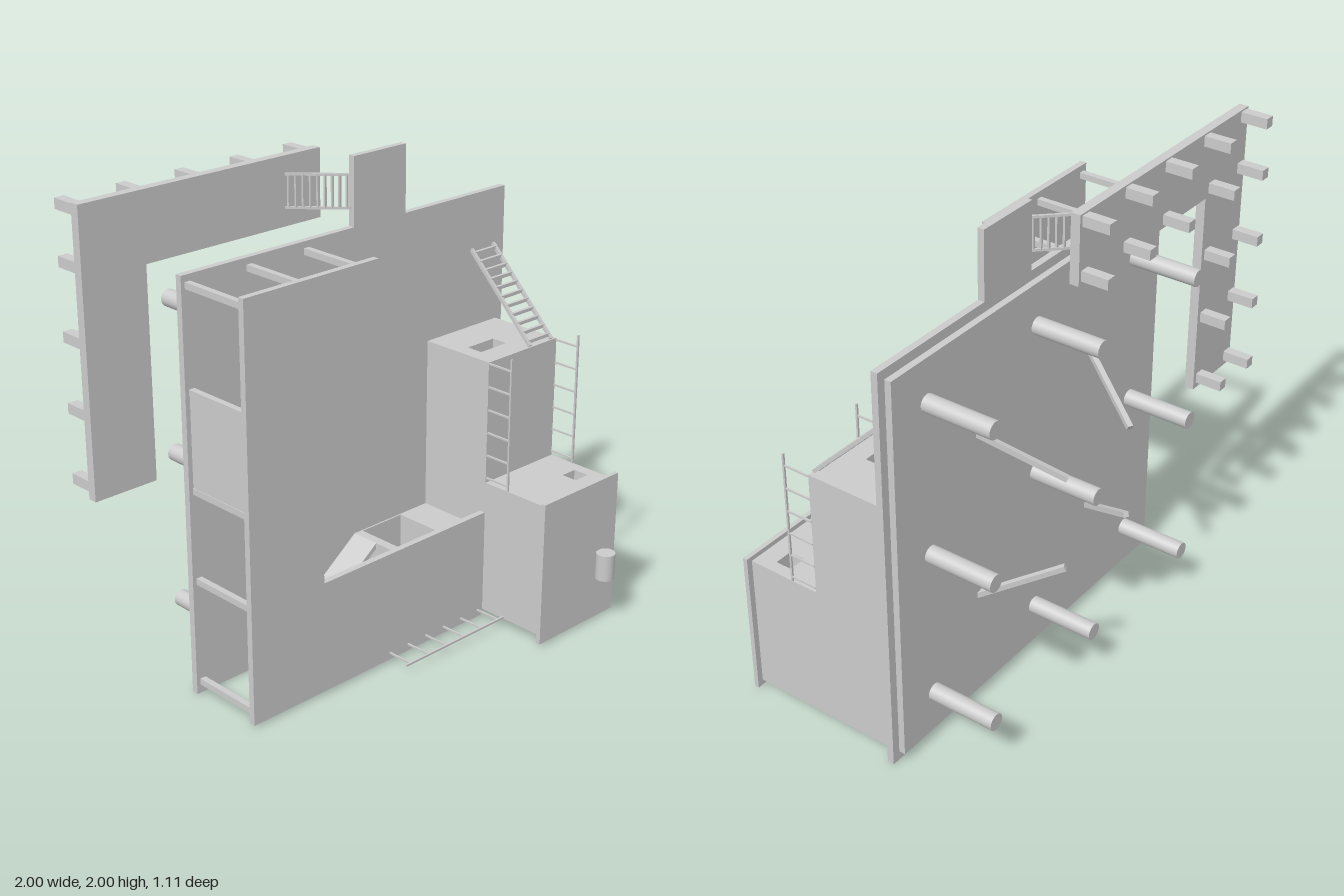
import * as THREE from 'three';

const material = new THREE.MeshStandardMaterial({ color: 0xcccccc, flatShading: true });
const smooth = new THREE.MeshStandardMaterial({ color: 0xcccccc });

export function createModel() {
  const model = new THREE.Group();

  const add = (name, geometry, mat = material) => {
    const mesh = new THREE.Mesh(geometry, mat);
    mesh.name = name;
    model.add(mesh);
    return mesh;
  };

  // Box given by its limits on each axis
  const box = (name, x0, x1, y0, y1, z0, z1) =>
    add(name, new THREE.BoxGeometry(x1 - x0, y1 - y0, z1 - z0))
      .position.set((x0 + x1) / 2, (y0 + y1) / 2, (z0 + z1) / 2);

  // Upright plate with an outline in x and y
  const plate = (name, points, z0, z1) => {
    const shape = new THREE.Shape(points.map(p => new THREE.Vector2(...p)));
    add(name, new THREE.ExtrudeGeometry(shape, { depth: z1 - z0, bevelEnabled: false })).position.z = z0;
  };

  // Block with a rectangular hatch sunk into its top
  const hatchBlock = (name, [x0, x1, y0, y1, z0, z1], [hx0, hx1, hz0, hz1], depth) => {
    const rect = (Type, a, b, c, d) => new Type([[a, -d], [b, -d], [b, -c], [a, -c]].map(p => new THREE.Vector2(...p)));
    const shape = rect(THREE.Shape, x0, x1, z0, z1);
    shape.holes.push(rect(THREE.Path, hx0, hx1, hz0, hz1));
    const rim = new THREE.ExtrudeGeometry(shape, { depth, bevelEnabled: false }).rotateX(-Math.PI / 2);
    add(name + 'Rim', rim).position.y = y1 - depth;
    box(name, x0, x1, y0, y1 - depth, z0, z1);
  };

  // Square bar between two points
  const bar = (name, a, b, w, h = w) => {
    const from = new THREE.Vector3(...a), to = new THREE.Vector3(...b);
    const mesh = add(name, new THREE.BoxGeometry(w, h, from.distanceTo(to)));
    mesh.position.copy(from).lerp(to, 0.5);
    mesh.lookAt(to);
  };

  // Ladder: two rails from a to b, one of them shifted by the offset, joined by rungs
  const ladder = (name, a, b, offset, count, railSize, rungSize) => {
    const shift = p => p.map((v, i) => v + offset[i]);
    bar(name + 'Rail', a, b, railSize);
    bar(name + 'Rail', shift(a), shift(b), railSize);
    for (let i = 0; i < count; i++) {
      const t = (i + 0.5) / count;
      const p = a.map((v, k) => v + (b[k] - v) * t);
      bar(name + 'Rung', p, shift(p), rungSize);
    }
  };

  // Main wall with its raised tab, and the backing panel
  plate('mainWall', [[-0.71, 0], [1, 0], [1, 1.72], [0.42, 1.72], [0.42, 2], [0.14, 2], [0.14, 1.72], [-0.71, 1.72]], -0.235, -0.207);
  box('backingPanel', -0.68, 0.965, 0.04, 1.68, -0.262, -0.235);

  // Front wall wrapping the left side and the bottom
  plate('frontWall', [[-0.71, 0.01], [0.555, 0.01], [0.555, 0.485], [-0.345, 0.485], [-0.345, 1.225],
    [-0.06, 1.225], [-0.06, 1.72], [-0.71, 1.72]], 0.108, 0.135);

  // Spacers between the two walls
  const spacers = [[-0.68, 1.68], [-0.39, 1.68], [-0.107, 1.68], [-0.107, 1.267], [-0.68, 1.267],
    [-0.68, 0.87], [-0.39, 0.87], [-0.68, 0.49], [-0.39, 0.49], [-0.68, 0.05], [-0.39, 0.05]];
  for (const [x, y] of spacers) box('spacer', x - 0.013, x + 0.013, y - 0.013, y + 0.013, -0.207, 0.108);
  box('sidePanel', -0.69, -0.667, 0.87, 1.255, -0.207, 0.108);

  // Stepped tower with hatches
  hatchBlock('lowerTower', [0.555, 0.965, 0.035, 0.62, 0.135, 0.455], [0.84, 0.915, 0.305, 0.375], 0.08);
  hatchBlock('upperTower', [0.555, 0.965, 0.035, 1.147, -0.207, 0.135], [0.62, 0.77, -0.04, 0.033], 0.15);
  box('towerFront', 0.535, 0.99, 0.01, 0.64, 0.455, 0.475);
  add('drum', new THREE.CylinderGeometry(0.04, 0.04, 0.115, 32), smooth).position.set(0.89, 0.262, 0.512);

  // Inner block behind the front wall with a ramp leading up to it
  hatchBlock('innerBlock', [0.14, 0.555, 0.035, 0.41, -0.207, 0.108], [0.18, 0.4, -0.2, 0.02], 0.34);
  plate('ramp', [[-0.38, 0.02], [-0.35, 0.02], [0.14, 0.385], [0.14, 0.41]], -0.207, -0.08);

  // Stairs from the tower roof to the main wall
  ladder('stairs', [0.807, 1.15, 0.13], [0.807, 1.485, -0.207], [0.13, 0, 0], 11, 0.014, 0.014);

  // Railings: an outer rail on short posts
  for (const x of [0.56, 0.963]) {
    bar('towerRail', [x, 0.62, 0.252], [x, 1.19, 0.252], 0.008);
    for (let i = 0; i < 6; i++) bar('towerRailPost', [x, 0.64 + i * 0.1, 0.135], [x, 0.64 + i * 0.1, 0.252], 0.007);
  }
  bar('lowerRail', [-0.015, 0.04, 0.252], [0.56, 0.04, 0.252], 0.008);
  for (let i = 0; i < 6; i++) {
    const x = 0.01 + i * 0.103;
    bar('lowerRailPost', [x, 0.04, 0.135], [x, 0.04, 0.252], 0.007);
  }

  // Rear L-shaped gallery and its square posts
  plate('gallery', [[-1, 0.86], [-0.715, 0.86], [-0.715, 1.72], [0.14, 1.72], [0.14, 2], [-1, 2]], -0.437, -0.398);
  const posts = [];
  for (const x of [0.105, -0.165, -0.43, -0.7, -0.97]) posts.push([x, 1.972]);
  for (const x of [0.105, -0.165, -0.43, -0.755, -0.97]) posts.push([x, 1.757]);
  for (const y of [1.47, 1.19, 0.905]) posts.push([-0.755, y], [-0.97, y]);
  for (const [x, y] of posts) box('galleryPost', x - 0.021, x + 0.021, y - 0.021, y + 0.021, -0.55, -0.437);

  // Slanting bridge between the tab and the gallery
  ladder('bridge', [0.135, 1.795, -0.22], [-0.04, 1.795, -0.4], [0, 0.132, 0], 9, 0.01, 0.009);

  // Round rear piles in a three by three grid
  for (const x of [-0.505, 0.14, 0.78]) {
    for (const y of [0.22, 0.865, 1.505]) {
      add('pile', new THREE.CylinderGeometry(0.035, 0.035, 0.29, 32).rotateX(Math.PI / 2), smooth).position.set(x, y, -0.405);
    }
  }

  // Four braces leaning toward the central pile
  for (const sx of [-1, 1]) {
    for (const sy of [-1, 1]) {
      bar('brace', [0.142 + sx * 0.36, 0.865 + sy * 0.365, -0.255],
        [0.142 + sx * 0.205, 0.865 + sy * 0.2, -0.548], 0.022);
    }
  }

  return model;
}
